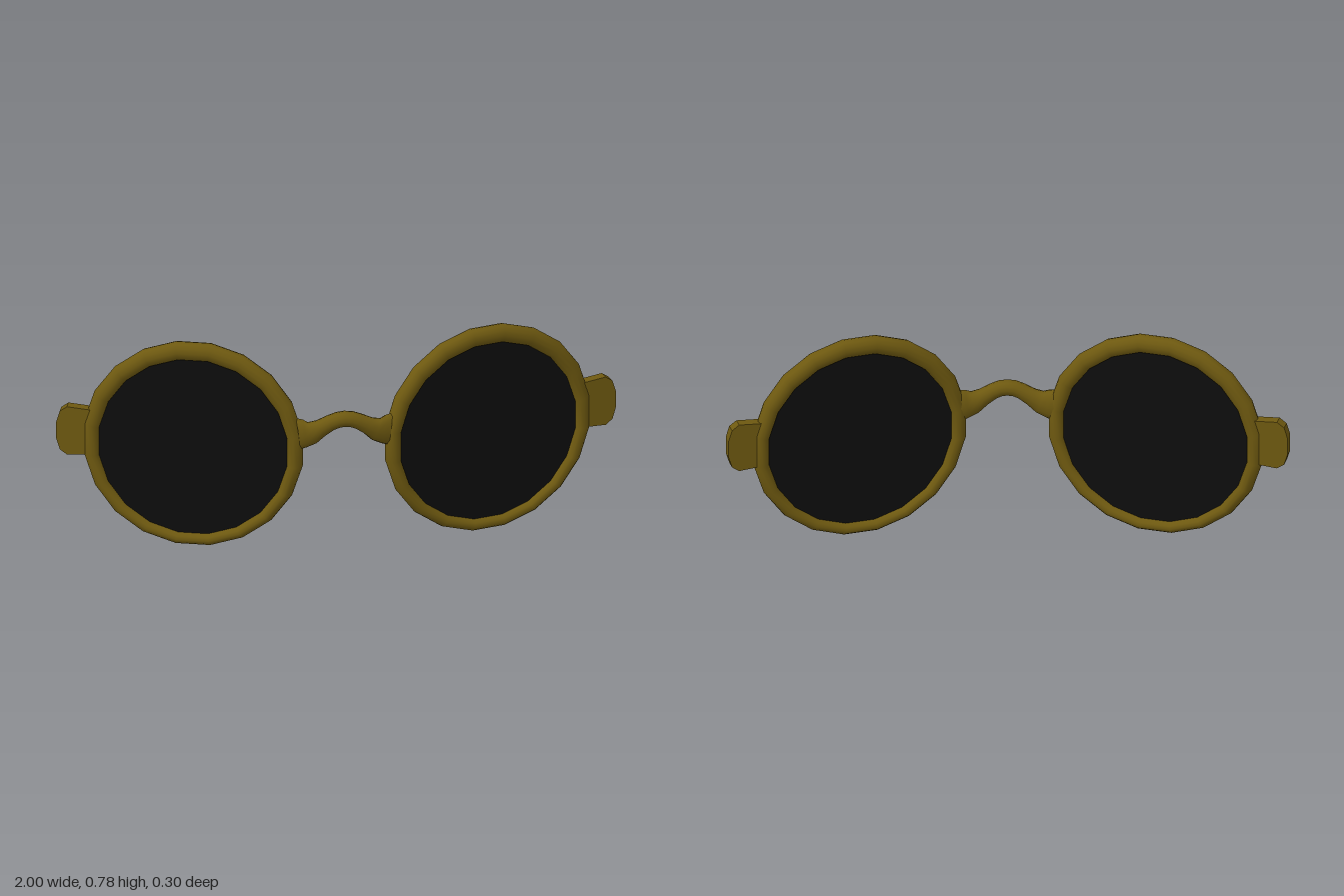
import * as THREE from 'three';

const gold = new THREE.MeshStandardMaterial({ color: 0x6e5910 });
gold.name = 'dark gold frame';
const black = new THREE.MeshStandardMaterial({ color: 0x0d0d0d });
black.name = 'black lens';

const SWEEP = 0.275; // each half is angled back by this much
const LENS_X = 0.525;

// Smooth skin over a row of cross-section loops
function loft(sections, closed) {
  const n = sections.length, m = sections[0].length;
  const index = [];
  for (let i = 0; i < (closed ? n : n - 1); i++) {
    for (let j = 0; j < m; j++) {
      const k = (i + 1) % n, l = (j + 1) % m;
      const a = i * m + j, b = k * m + j, c = k * m + l, d = i * m + l;
      index.push(a, b, c, a, c, d);
    }
  }
  const geo = new THREE.BufferGeometry().setFromPoints(sections.flat());
  geo.setIndex(index);
  geo.computeVertexNormals();
  return geo;
}

// Elliptical loop spanned by a direction in the xy plane and the z axis
function section(center, dir, width, depth, sides = 12) {
  return Array.from({ length: sides }, (_, j) => {
    const p = (j / sides) * Math.PI * 2;
    return center.clone()
      .addScaledVector(dir, Math.cos(p) * width)
      .add(new THREE.Vector3(0, 0, Math.sin(p) * depth));
  });
}

// Rim that is thicker at the top than at the bottom
function rimGeometry() {
  const sections = [];
  for (let i = 0; i < 20; i++) {
    const t = ((i + 0.5) / 20) * Math.PI * 2;
    const dir = new THREE.Vector3(Math.cos(t), Math.sin(t), 0);
    const outer = dir.clone().multiplyScalar(0.397).add(new THREE.Vector3(0, 0.392, 0));
    const inner = dir.clone().multiplyScalar(0.339).add(new THREE.Vector3(0, 0.38, 0));
    const axis = outer.clone().sub(inner);
    const width = axis.length() / 2;
    sections.push(section(outer.add(inner).multiplyScalar(0.5), axis.normalize(), width, 0.029));
  }
  return loft(sections, true);
}

// Hinge tab with a rounded outer end
function tabGeometry(side) {
  const outline = [[0.36, 0.33], [0.45, 0.324], [0.476, 0.343], [0.489, 0.385],
    [0.489, 0.45], [0.476, 0.492], [0.45, 0.511], [0.36, 0.503]];
  const shape = new THREE.Shape(outline.map(([x, y]) => new THREE.Vector2(x * side, y)));
  const geo = new THREE.ExtrudeGeometry(shape, { depth: 0.036, bevelEnabled: false });
  return geo.translate(0, 0, -0.018);
}

// Arched nose bridge, flaring where it meets the rims
function bridgeGeometry() {
  // x, y, z, half height
  const half = [[0.165, 0.452, 0.101, 0.062], [0.14, 0.455, 0.107, 0.055],
    [0.115, 0.459, 0.113, 0.044], [0.085, 0.477, 0.117, 0.033],
    [0.05, 0.498, 0.121, 0.029], [0.025, 0.508, 0.123, 0.029]];
  const stations = [...half, [0, 0.511, 0.123, 0.029],
    ...half.map(([x, ...rest]) => [-x, ...rest]).reverse()];
  const sections = stations.map(([x, y, z, w], i) => {
    const before = stations[Math.max(i - 1, 0)];
    const after = stations[Math.min(i + 1, stations.length - 1)];
    const dir = new THREE.Vector3(after[1] - before[1], before[0] - after[0], 0).normalize();
    return section(new THREE.Vector3(x, y, z), dir, w, 0.028);
  });
  return loft(sections, false);
}

export function createModel() {
  const model = new THREE.Group();
  model.name = 'roundGlasses';

  const add = (parent, name, geometry, material) => {
    const mesh = new THREE.Mesh(geometry, material);
    mesh.name = name;
    parent.add(mesh);
    return mesh;
  };

  for (const side of [1, -1]) {
    const label = side > 0 ? 'left' : 'right';
    const half = new THREE.Group();
    half.name = label + 'Half';
    half.position.x = side * LENS_X;
    half.rotation.y = side * SWEEP;
    add(half, label + 'Rim', rimGeometry(), gold);
    add(half, label + 'HingeTab', tabGeometry(side), gold);
    const lens = new THREE.CylinderGeometry(0.354, 0.354, 0.016, 40).rotateX(Math.PI / 2);
    add(half, label + 'Lens', lens, black).position.y = 0.383;
    model.add(half);
  }
  add(model, 'noseBridge', bridgeGeometry(), gold);
  return model;
}
